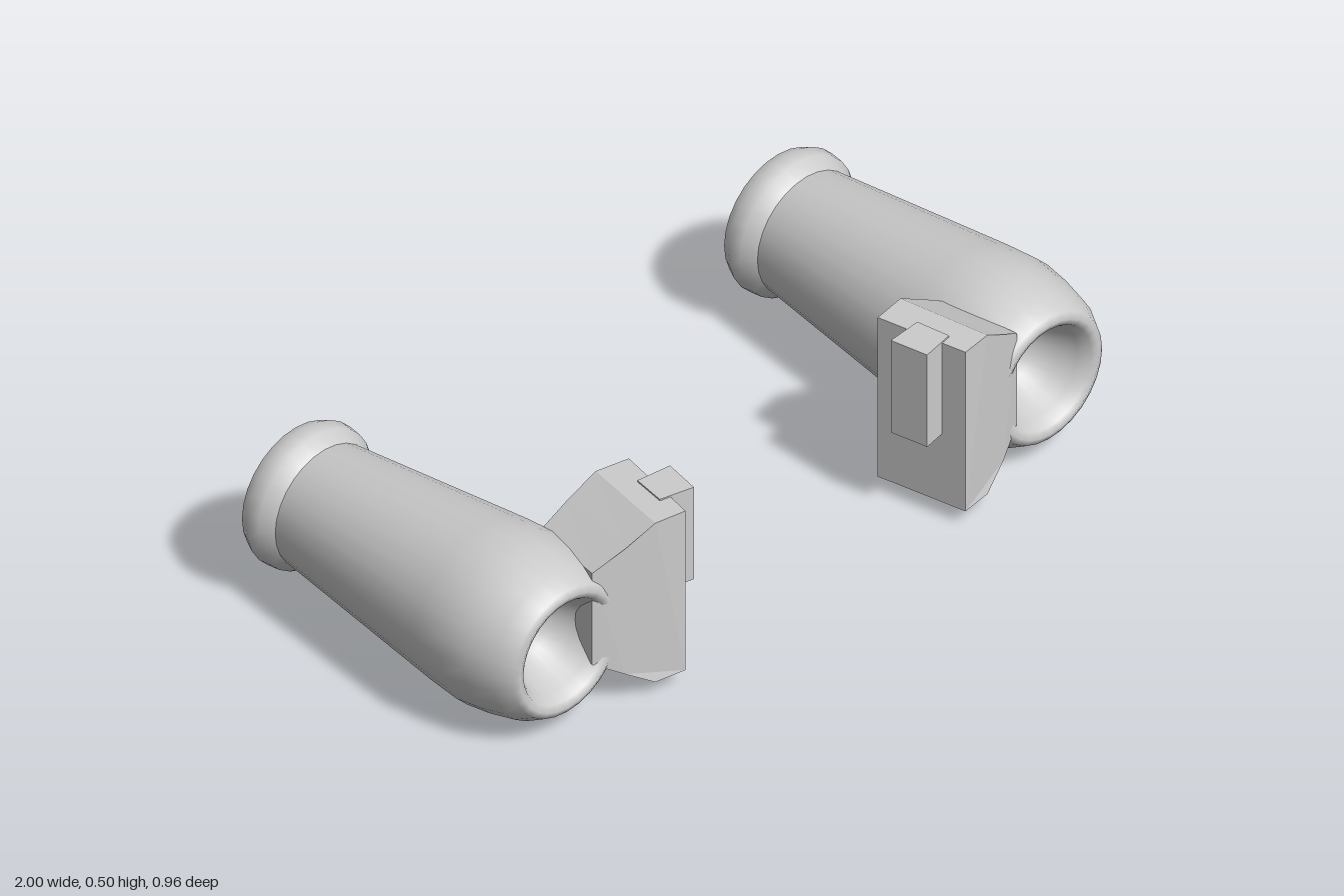
import * as THREE from 'three';

const material = new THREE.MeshStandardMaterial({ color: 0xcccccc });

// Lathe around an axis parallel to z; points are [radius, z]
function turned(name, points) {
  const geo = new THREE.LatheGeometry(points.map(([r, z]) => new THREE.Vector2(r, z)), 28);
  geo.rotateX(Math.PI / 2);
  const mesh = new THREE.Mesh(geo, material);
  mesh.name = name;
  return mesh;
}

// Faceted mesh, mirrored to the -x side when side is -1
function faceted(name, source, side) {
  const geo = source.index ? source.toNonIndexed() : source.clone();
  if (side < 0) {
    geo.scale(-1, 1, 1);
    const p = geo.attributes.position;
    const a = new THREE.Vector3(), b = new THREE.Vector3();
    for (let i = 0; i < p.count; i += 3) {
      a.fromBufferAttribute(p, i + 1);
      b.fromBufferAttribute(p, i + 2);
      p.setXYZ(i + 1, b.x, b.y, b.z);
      p.setXYZ(i + 2, a.x, a.y, a.z);
    }
  }
  geo.computeVertexNormals();
  const mesh = new THREE.Mesh(geo, material);
  mesh.name = name;
  return mesh;
}

const shapeOf = (pts) => new THREE.Shape(pts.map(([x, y]) => new THREE.Vector2(x, y)));

// Bracket: chamfered outline, bent into a gentle arc
function bracketGeometry() {
  const outline = [
    [0, 0.045], [0.09, 0.045], [0.17, 0.093], [0.25, 0.14],
    [0.25, 0.4], [0.17, 0.45], [0.09, 0.498], [0, 0.498],
  ];
  const geo = new THREE.ExtrudeGeometry(shapeOf(outline), { depth: 1, bevelEnabled: false });
  const p = geo.attributes.position;
  for (let i = 0; i < p.count; i++) {
    const u = p.getX(i), t = p.getZ(i);
    const frontX = 0.45 + 0.93 * u, frontZ = 0.475 - 0.08 * u - 0.8 * u * u;
    const backX = 0.4 + u, backZ = 0.235 - 0.22 * u + 0.3 * u * u;
    p.setX(i, THREE.MathUtils.lerp(backX, frontX, t));
    p.setZ(i, THREE.MathUtils.lerp(backZ, frontZ, t));
  }
  return geo;
}

// Tab on the inner face of the bracket
function tabGeometry() {
  const plan = [[0.45, -0.315], [0.355, -0.325], [0.375, -0.425], [0.465, -0.405]];
  const geo = new THREE.ExtrudeGeometry(shapeOf(plan), { depth: 0.262, bevelEnabled: false });
  geo.rotateX(-Math.PI / 2);
  geo.translate(0, 0.24, 0);
  return geo;
}

export function createModel() {
  const model = new THREE.Group();
  const bracket = bracketGeometry();
  const tab = tabGeometry();

  for (const side of [1, -1]) {
    const pod = new THREE.Group();
    pod.name = side > 0 ? 'leftThruster' : 'rightThruster';

    // Barrel with rounded intake lip, and nozzle at the rear
    const barrel = new THREE.Group();
    barrel.name = 'barrel';
    barrel.position.set(0.775 * side, 0.229, 0);
    barrel.add(
      turned('nozzleInterior', [[0, -0.24], [0.09, -0.25], [0.155, -0.483]]
        .map(([r, z]) => [r, z])),
      turned('nozzleRim', [[0.155, -0.483], [0.174, -0.483]]),
      turned('nozzleCollar', [[0.174, -0.483], [0.187, -0.455], [0.183, -0.42], [0.159, -0.388]]),
      turned('casing', [
        [0.159, -0.388], [0.218, 0.14], [0.225, 0.23], [0.215, 0.3],
        [0.198, 0.37], [0.172, 0.415], [0.155, 0.423], [0.138, 0.415],
        [0.122, 0.385], [0.105, 0.34], [0.075, 0.29], [0.04, 0.262], [0, 0.25],
      ]),
    );
    pod.add(barrel, faceted('bracket', bracket, side), faceted('bracketTab', tab, side));
    model.add(pod);
  }
  return model;
}
